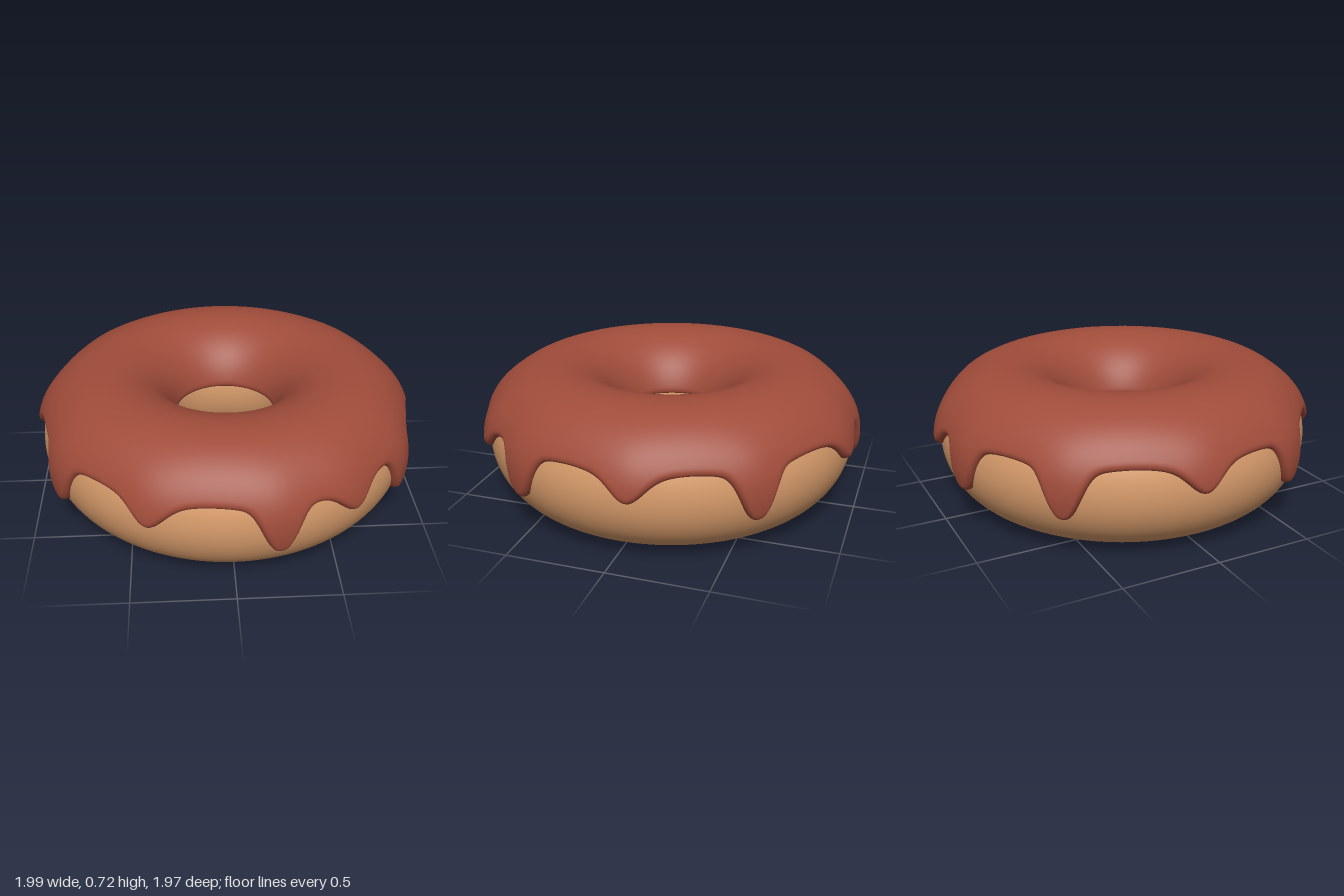
import * as THREE from 'three';

const RING = 0.61, TUBE = 0.35;
const rad = THREE.MathUtils.degToRad;

// Drips around the rim: [angle in degrees from +x towards +z, is it long?]
const DRIPS = [[78, 1], [54.8, 0], [29.8, 1], [-6, 0], [-41.6, 1], [-80, 0],
  [-102, 1], [-137.5, 1], [-176, 0], [149.5, 1], [114.5, 0]];

// Sum a bell-shaped influence of every drip at an angle
function sumDrips(angle, fn) {
  return DRIPS.reduce((sum, [centre, long]) => {
    const d = Math.abs(((angle - centre + 540) % 360) - 180);
    return sum + fn(d, long);
  }, 0);
}

// Height of the icing's outer edge
function edgeHeight(angle) {
  return 0.49 - sumDrips(angle, (d, long) =>
    0.04 * Math.exp(-((d / 13) ** 2)) +
    (long ? 0.21 * Math.exp(-((d / 6) ** 2.6)) : 0.1 * Math.exp(-((d / 6) ** 2))));
}
const edgePhi = (angle) => Math.asin((edgeHeight(angle) - TUBE) / TUBE);

// Quarter-round rise from an edge, reaching 1 at the given width
function roundEdge(distance, width) {
  const s = Math.min(distance / width, 1);
  return Math.sqrt(1 - (1 - s) ** 2);
}

// Icing: a skin over the ring with a rounded, dripping outer edge
function icingGeometry() {
  const around = 480, rows = 56, innerPhi = rad(168.5);
  const positions = [], index = [];
  for (let i = 0; i < around; i++) {
    const angle = (i / around) * 360;
    const a = rad(angle);
    const outerPhi = edgePhi(angle);
    const slope = (edgeHeight(angle + 0.5) - edgeHeight(angle - 0.5)) / rad(1);
    const steep = Math.min(Math.hypot(1, slope), 2.5);
    const bulge = Math.min(1, sumDrips(angle, (d) => Math.exp(-((d / 10) ** 2))));
    for (let j = 0; j <= rows; j++) {
      const t = j / rows;
      const phi = outerPhi + (innerPhi - outerPhi) * t * t * (3 - 2 * t);
      const low = 1 - THREE.MathUtils.smoothstep(phi, 0.15, 1.2);
      const thick = 0.018 + (0.006 + 0.018 * bulge) * low;
      const lift = thick * roundEdge((phi - outerPhi) * TUBE, 0.032 * steep)
        * roundEdge((innerPhi - phi) * TUBE, 0.03) - 0.002;
      const r = RING + (TUBE + lift) * Math.cos(phi);
      positions.push(r * Math.cos(a), TUBE + (TUBE + lift) * Math.sin(phi), r * Math.sin(a));
      if (j < rows) {
        const p = i * (rows + 1) + j;
        const q = ((i + 1) % around) * (rows + 1) + j;
        index.push(p, p + 1, q, q, p + 1, q + 1);
      }
    }
  }
  const geometry = new THREE.BufferGeometry();
  geometry.setAttribute('position', new THREE.Float32BufferAttribute(positions, 3));
  geometry.setIndex(index);
  geometry.computeVertexNormals();
  return geometry;
}

export function createModel() {
  const model = new THREE.Group();
  model.name = 'doughnut';

  // Dough ring
  const dough = new THREE.Mesh(
    new THREE.TorusGeometry(RING, TUBE, 64, 160).rotateX(Math.PI / 2),
    new THREE.MeshStandardMaterial({ color: 0xd69a6a }));
  dough.position.y = TUBE;
  dough.name = 'dough';

  // Dripping icing
  const icing = new THREE.Mesh(icingGeometry(),
    new THREE.MeshStandardMaterial({ color: 0xa04c3a }));
  icing.name = 'icing';

  model.add(dough, icing);
  return model;
}
